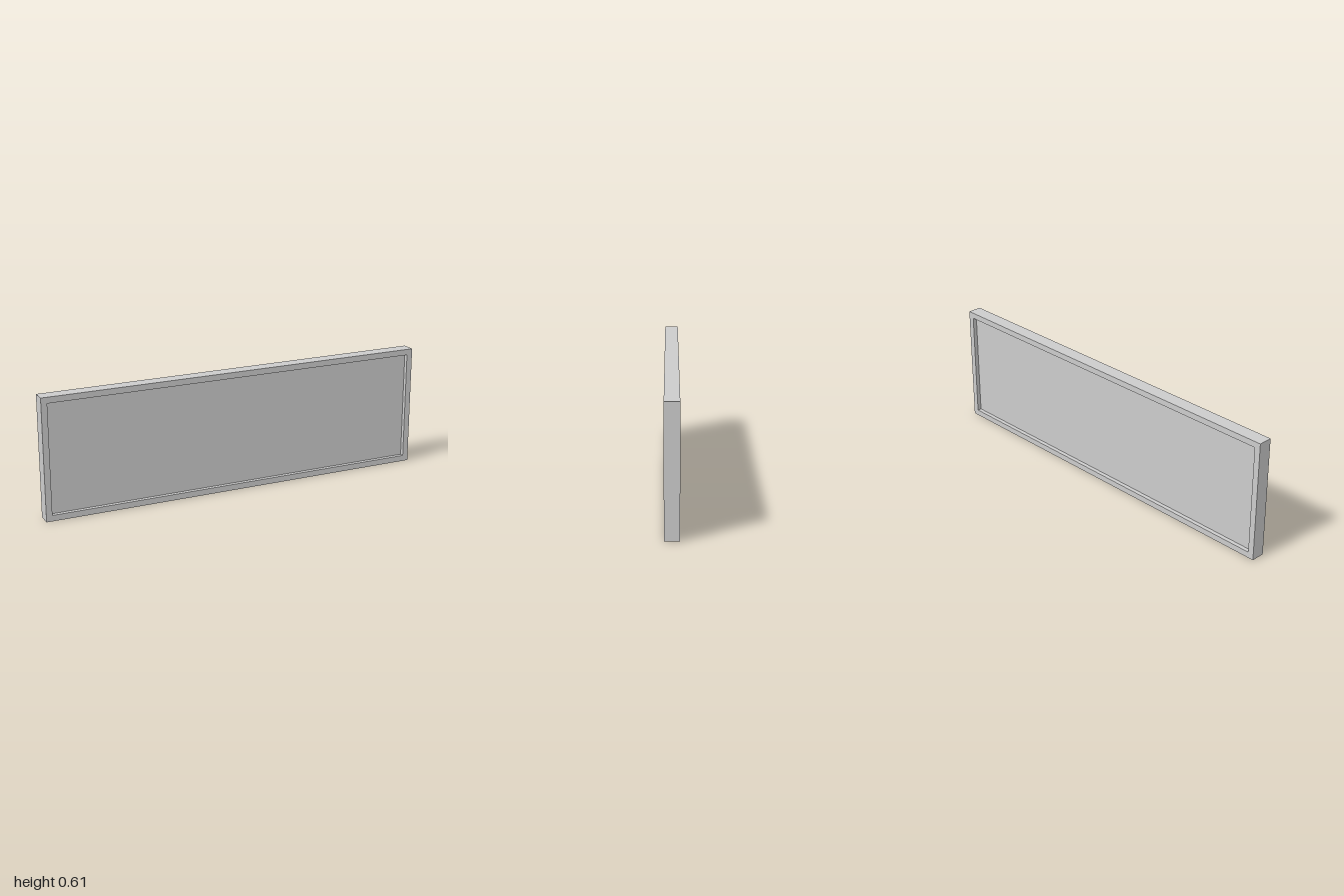
import * as THREE from 'three';

const WIDTH = 2, HEIGHT = 0.612, DEPTH = 0.07; // overall size
const BORDER = 0.03;                           // face width of the frame
const RECESS = 0.021;                          // panel set-back on both sides

// Rectangle outline centred on x, inset from the outer edge
function outline(PathType, inset) {
  const x = WIDTH / 2 - inset, y0 = inset, y1 = HEIGHT - inset;
  return new PathType([
    new THREE.Vector2(-x, y0), new THREE.Vector2(x, y0),
    new THREE.Vector2(x, y1), new THREE.Vector2(-x, y1),
  ]);
}

export function createModel() {
  const group = new THREE.Group();
  group.name = 'framedPanel';
  const material = new THREE.MeshStandardMaterial({ color: 0xcccccc });

  // Rectangular frame with a through opening
  const shape = outline(THREE.Shape, 0);
  shape.holes.push(outline(THREE.Path, BORDER));
  const frameGeometry = new THREE.ExtrudeGeometry(shape, { depth: DEPTH, bevelEnabled: false });
  frameGeometry.translate(0, 0, -DEPTH / 2);
  const frame = new THREE.Mesh(frameGeometry, material);
  frame.name = 'frame';
  group.add(frame);

  // Thin panel filling the opening, recessed front and back
  const panel = new THREE.Mesh(
    new THREE.BoxGeometry(WIDTH - 2 * BORDER, HEIGHT - 2 * BORDER, DEPTH - 2 * RECESS),
    material,
  );
  panel.name = 'panel';
  panel.position.y = HEIGHT / 2;
  group.add(panel);

  return group;
}
